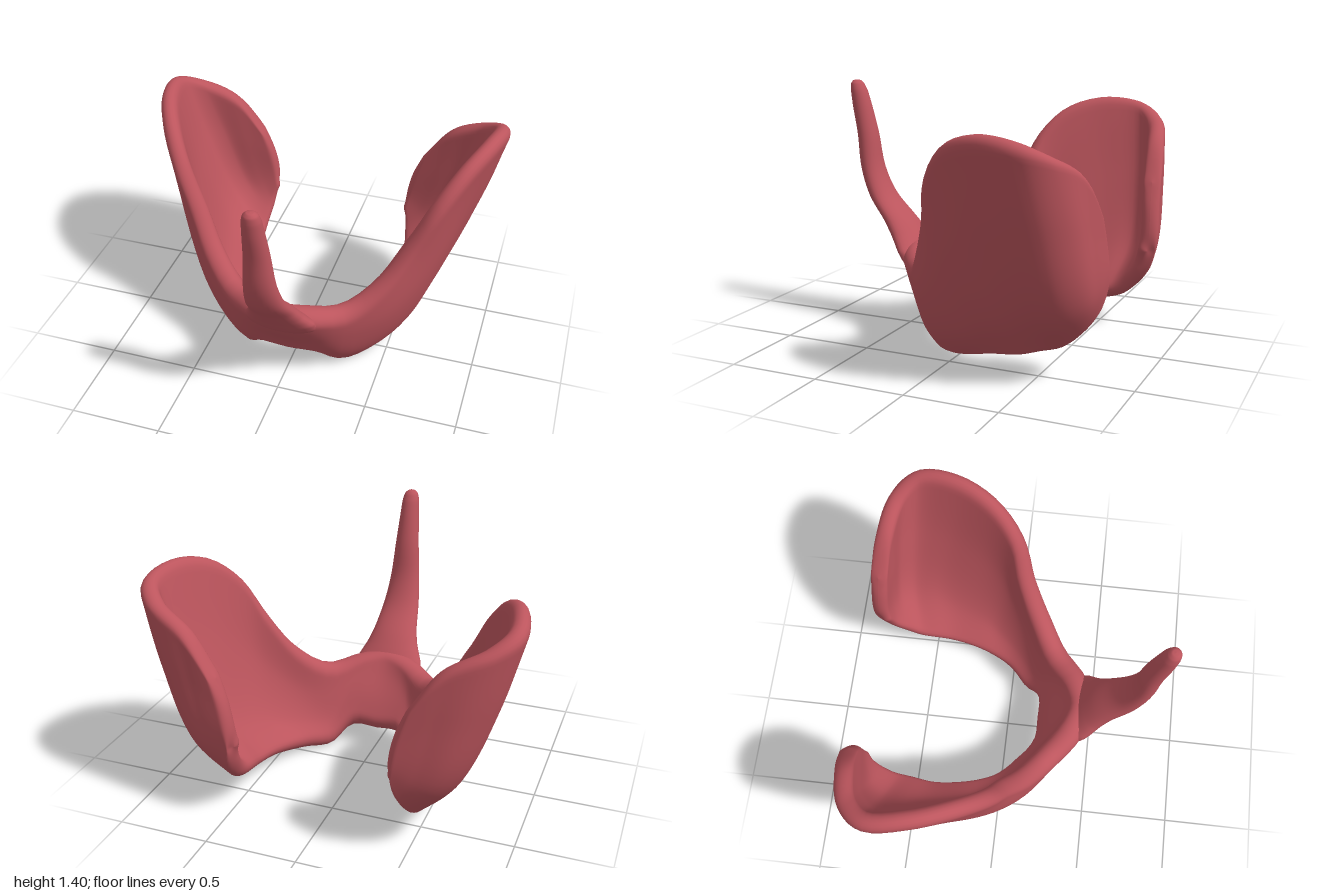
import * as THREE from 'three';

const V = (p, s = 1) => new THREE.Vector3(p[0] * s, p[1], p[2]);

// Stations from the middle to the tip of the left wing: bottom, lower, upper, top.
const STATIONS = [
  [[0, .11, .22], [0, .25, .29], [0, .39, .385], [0, .51, .455]],
  [[.15, .11, .21], [.15, .25, .28], [.15, .38, .35], [.15, .50, .40]],
  [[.25, .015, .11], [.29, .14, .185], [.31, .30, .23], [.32, .47, .26]],
  [[.36, .03, 0], [.455, .17, .05], [.48, .36, .12], [.48, .61, .14]],
  [[.42, .06, -.12], [.555, .22, -.09], [.615, .50, 0], [.60, .82, .05]],
  [[.46, .09, -.25], [.615, .30, -.22], [.71, .65, -.12], [.72, 1.04, -.01]],
  [[.48, .115, -.40], [.655, .35, -.37], [.775, .75, -.27], [.835, 1.2, -.15]],
  [[.47, .145, -.50], [.69, .42, -.52], [.83, .80, -.45], [.93, 1.265, -.36]],
  [[.46, .18, -.60], [.68, .42, -.65], [.84, .82, -.63], [.96, 1.24, -.58]],
  [[.45, .25, -.68], [.62, .46, -.74], [.75, .82, -.73], [.87, 1.18, -.69]],
  [[.435, .34, -.75], [.53, .50, -.775], [.61, .80, -.765], [.66, 1.065, -.755]],
  [[.415, .46, -.79], [.415, .57, -.80], [.44, .70, -.795], [.495, .84, -.785]],
];

// Joins closed rings of points into one smooth skin.
function skin(rings) {
  const n = rings[0].length, pos = [], idx = [];
  for (const ring of rings) for (const p of ring) pos.push(p.x, p.y, p.z);
  for (let i = 0; i < rings.length - 1; i++) {
    for (let k = 0; k < n; k++) {
      const a = i * n + k, b = i * n + (k + 1) % n;
      idx.push(a, a + n, b, b, a + n, b + n);
    }
  }
  const g = new THREE.BufferGeometry();
  g.setAttribute('position', new THREE.Float32BufferAttribute(pos, 3));
  g.setIndex(idx);
  g.computeVertexNormals();
  return g;
}

// Thickness profile: round at the rim, full further in.
const rim = (d, h) => Math.sqrt(Math.max(0, 1 - (1 - Math.min(d / h, 1)) ** 2));

// Curved sheet that runs from wing tip to wing tip, with its inward-folded back flaps.
function wingGeometry() {
  const mirrored = STATIONS.slice(1).reverse();
  const rails = [0, 1, 2, 3].map(r => new THREE.CatmullRomCurve3([
    ...mirrored.map(s => V(s[r], -1)), ...STATIONS.map(s => V(s[r])),
  ]));
  const section = u => new THREE.CatmullRomCurve3(
    rails.map(c => c.getPoint(THREE.MathUtils.clamp((u + 1) / 2, 0, 1))));
  const N = 112, M = 32, e = .004, rings = [];
  for (let i = 0; i <= N; i++) {
    const u = Math.sin(Math.PI * (i / N - .5));
    const mid = section(u), before = section(u - e), after = section(u + e);
    const h = THREE.MathUtils.lerp(.072, .048, THREE.MathUtils.smoothstep(Math.abs(u), .1, .5));
    const length = mid.getPoint(0).distanceTo(mid.getPoint(1));
    const tip = rim((1 - Math.abs(u)) * 2.2, h);
    const front = [], back = [];
    for (let k = 0; k <= M; k++) {
      const v = (1 - Math.cos(Math.PI * k / M)) / 2;
      const p = mid.getPoint(v);
      const du = after.getPoint(v).sub(before.getPoint(v));
      const dv = mid.getPoint(Math.min(1, v + e)).sub(mid.getPoint(Math.max(0, v - e)));
      const edge = rim(Math.min(v, 1 - v) * length, h);
      const off = du.cross(dv).normalize().multiplyScalar(h * edge * tip);
      front.push(p.clone().add(off));
      if (k > 0 && k < M) back.unshift(p.clone().sub(off));
    }
    rings.push([...front, ...back]);
  }
  return skin(rings);
}

// Tapering stalk that rises from the middle: y, z, half width, half depth.
function stalkGeometry() {
  const levels = [
    [.26, .29, .10, .03], [.34, .352, .16, .07], [.41, .408, .20, .082], [.46, .443, .195, .082],
    [.50, .472, .175, .08], [.55, .508, .15, .08], [.62, .56, .128, .077], [.75, .665, .105, .068],
    [.90, .727, .086, .062], [1.1, .757, .068, .058], [1.25, .79, .056, .055], [1.34, .81, .049, .047],
    [1.38, .82, .038, .036], [1.397, .823, .02, .02], [1.4, .824, .001, .001],
  ];
  const centre = new THREE.CatmullRomCurve3(levels.map(l => new THREE.Vector3(0, l[0], l[1])));
  const radii = new THREE.CatmullRomCurve3(levels.map(l => new THREE.Vector3(l[2], l[3], 0)));
  const rings = [], steps = 70, sides = 28;
  for (let i = 0; i <= steps; i++) {
    const c = centre.getPoint(i / steps), r = radii.getPoint(i / steps);
    const ring = [];
    for (let k = 0; k < sides; k++) {
      const a = 2 * Math.PI * k / sides;
      ring.push(new THREE.Vector3(c.x + r.x * Math.cos(a), c.y, c.z + r.y * Math.sin(a)));
    }
    rings.push(ring);
  }
  return skin(rings);
}

export function createModel() {
  const tissue = new THREE.MeshStandardMaterial({ color: 0xbc555d });
  tissue.name = 'tissueRed';
  const model = new THREE.Group();
  model.name = 'glandModel';

  const parts = { wingedLobes: wingGeometry(), centralStalk: stalkGeometry() };
  for (const [name, geometry] of Object.entries(parts)) {
    const mesh = new THREE.Mesh(geometry, tissue);
    mesh.name = name;
    model.add(mesh);
  }
  return model;
}
